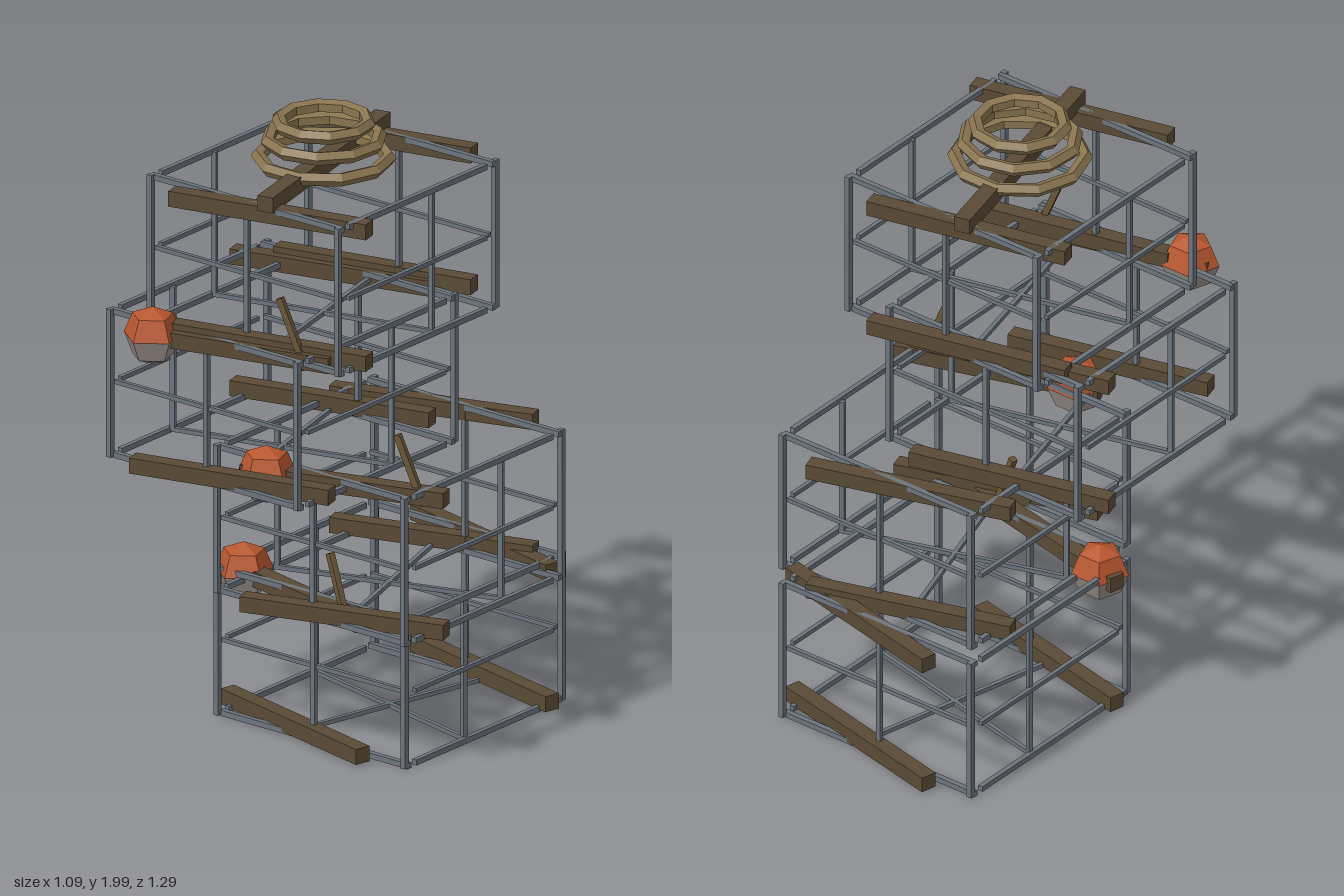
import * as THREE from 'three';

const mat = (color) => new THREE.MeshStandardMaterial({ color, flatShading: true });
const steel = mat(0x6c747d), wood = mat(0x594a35), stickWood = mat(0x6b5638);
const rope = mat(0x8a7550), orange = mat(0xb8562e), grey = mat(0x9a8f8a);

function add(parent, name, geometry, material, x, y, z) {
  const mesh = new THREE.Mesh(geometry, material);
  mesh.name = name;
  mesh.position.set(x, y, z);
  parent.add(mesh);
  return mesh;
}
const box = (parent, name, material, w, h, d, x, y, z) =>
  add(parent, name, new THREE.BoxGeometry(w, h, d), material, x, y, z);

const R = 0.365; // half width of a cage

// One wire cage with skewed wooden runners under and over it
function makeCage(angle) {
  const cage = new THREE.Group();
  cage.name = 'cage';
  for (const s of [-1, 1]) {
    for (const t of [-1, 1]) box(cage, 'cornerPost', steel, 0.018, 0.48, 0.018, s * R, 0.253, t * 0.379);
    for (const y of [0.018, 0.483]) {
      box(cage, 'crossRail', steel, 0.745, 0.018, 0.018, 0, y, s * R);
      box(cage, 'sideRail', steel, 0.016, 0.018, 0.665, s * R, y, 0);
    }
    box(cage, 'middleCrossRail', steel, 0.72, 0.014, 0.014, 0, 0.252, s * 0.358);
    box(cage, 'middleSideRail', steel, 0.014, 0.014, 0.665, s * R, 0.252, 0);
    box(cage, 'middlePost', steel, 0.016, 0.46, 0.016, 0, 0.253, s * R);
  }

  // Skewed parts: runners, floor wires and side posts
  const skewed = new THREE.Group();
  skewed.name = 'skewedParts';
  skewed.rotation.y = angle;
  cage.add(skewed);
  for (const s of [-1, 1]) {
    for (const y of [0.04, 0.467]) box(skewed, 'runner', wood, 0.665, 0.05, 0.052, 0, y, s * R);
    box(skewed, 'sidePost', steel, 0.016, 0.46, 0.016, s * R, 0.253, 0);
  }
  box(skewed, 'floorWire', steel, 0.75, 0.014, 0.014, 0, 0.02, 0);
  box(skewed, 'floorWire', steel, 0.014, 0.014, 0.73, 0, 0.02, 0);
  return cage;
}

// Two-tone float, faceted with five sides
function makeBuoy() {
  const buoy = new THREE.Group();
  buoy.name = 'buoy';
  const half = (start) => new THREE.SphereGeometry(0.093, 5, 2, Math.PI / 2, Math.PI * 2, start, Math.PI / 2);
  add(buoy, 'buoyTop', half(0), orange, 0, 0, 0);
  add(buoy, 'buoyBottom', half(Math.PI / 2), grey, 0, 0, 0);
  return buoy;
}

export function createModel() {
  const model = new THREE.Group();
  model.name = 'cageStack';

  // Stack of four cages: centre x, centre z, skew angle
  const cages = [[0.027, -0.19, -0.225], [0.11, -0.085, 0.3], [-0.131, 0.132, 0.25], [-0.015, 0.079, 0.23]];
  cages.forEach(([x, z, angle], i) => {
    const cage = makeCage(angle);
    cage.position.set(x, i * 0.447, z);
    model.add(cage);
  });

  // Floats, each with a leaning stick
  const floats = [
    [-0.295, 0.47, 0.115, 0.165, 0.545, 0.225, -0.225],
    [-0.02, 0.915, 0.345, 0.425, 0.99, 0.2, 0.3],
    [-0.295, 1.362, 0.555, 0.16, 1.44, 0.44, 0.25],
  ];
  for (const [bx, by, bz, sx, sy, sz, angle] of floats) {
    const buoy = makeBuoy();
    buoy.position.set(bx, by, bz);
    model.add(buoy);
    const stick = box(model, 'buoyStick', stickWood, 0.02, 0.235, 0.02, sx, sy, sz);
    stick.rotation.set(0, angle, 0.38);
  }

  // Top beam and the coil of rope lying on it
  box(model, 'topBeam', wood, 0.052, 0.05, 0.82, -0.015, 1.85, 0.075).rotation.y = 0.23;
  [[0.2, 1.865], [0.173, 1.925], [0.138, 1.979]].forEach(([radius, y], i) => {
    const geometry = new THREE.TorusGeometry(radius, 0.022, 5, 10).rotateX(Math.PI / 2);
    add(model, 'ropeCoil', geometry, rope, -0.015, y, 0.076).rotation.y = i * 0.25;
  });
  return model;
}
